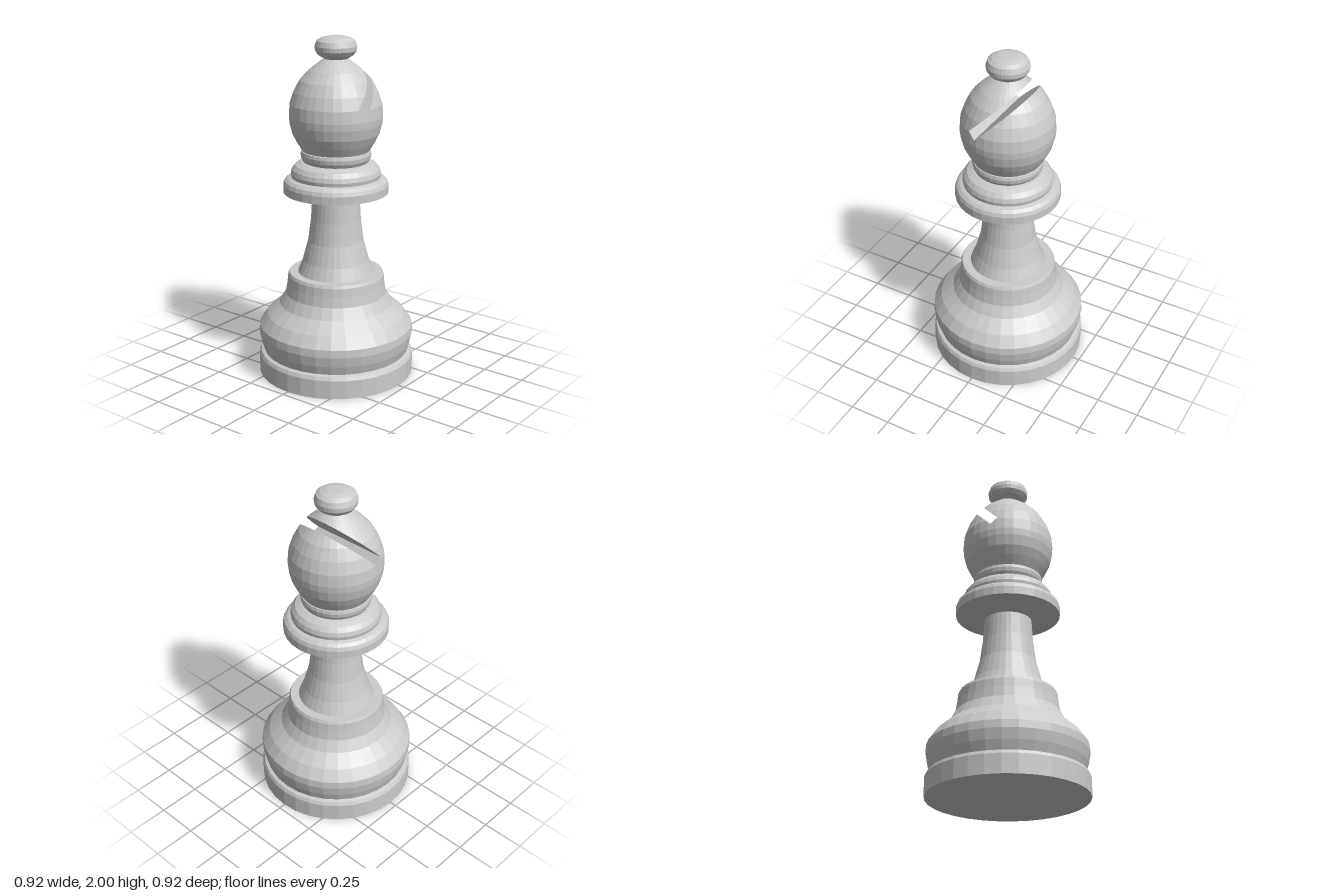
import * as THREE from 'three';

const SIDES = 32;
const material = new THREE.MeshStandardMaterial({ color: 0xcccccc, flatShading: true });

// Turned part from [radius, height] pairs, bottom to top
function turned(profile) {
  return new THREE.LatheGeometry(profile.map(([r, y]) => new THREE.Vector2(r, y)), SIDES);
}

// Splits a convex polygon into the parts in front of and behind a plane
function split(poly, plane) {
  const front = [], back = [];
  poly.forEach((a, i) => {
    const b = poly[(i + 1) % poly.length];
    const da = plane.distanceToPoint(a), db = plane.distanceToPoint(b);
    if (da >= 0) front.push(a);
    if (da <= 0) back.push(a);
    if (da * db < 0) {
      const p = a.clone().lerp(b, da / (da - db));
      front.push(p);
      back.push(p);
    }
  });
  return [front, back];
}

// Removes the region behind all planes from a convex solid and closes the cut walls
function carve(geometry, planes) {
  const pos = geometry.toNonIndexed().getAttribute('position');
  let rest = [];
  for (let i = 0; i < pos.count; i += 3) {
    rest.push([0, 1, 2].map(k => new THREE.Vector3().fromBufferAttribute(pos, i + k)));
  }
  const kept = [];
  for (const plane of planes) {
    const inside = [];
    for (const poly of rest) {
      const [front, back] = split(poly, plane);
      if (front.length > 2) kept.push(front);
      if (back.length > 2) inside.push(back);
    }
    rest = inside;
  }
  // Each wall is the convex outline of the removed piece on one plane
  for (const plane of planes) {
    const pts = rest.flat().filter(p => Math.abs(plane.distanceToPoint(p)) < 1e-6);
    const centre = pts.reduce((s, p) => s.add(p), new THREE.Vector3()).divideScalar(pts.length);
    const v = new THREE.Vector3(0, 0, 1);
    const u = new THREE.Vector3().crossVectors(v, plane.normal);
    const angle = p => {
      const d = p.clone().sub(centre);
      return Math.atan2(d.dot(v), d.dot(u));
    };
    // Clockwise around the plane normal, so the wall faces into the slot
    pts.sort((a, b) => angle(a) - angle(b));
    const wall = pts.filter((p, i) => i === 0 || p.distanceTo(pts[i - 1]) > 1e-6);
    const normal = new THREE.Vector3().crossVectors(u, v);
    if (normal.dot(plane.normal) > 0) wall.reverse();
    kept.push(wall);
  }
  const points = [];
  for (const poly of kept) {
    for (let i = 1; i < poly.length - 1; i++) points.push(poly[0], poly[i], poly[i + 1]);
  }
  const result = new THREE.BufferGeometry().setFromPoints(points);
  result.computeVertexNormals();
  return result;
}

export function createModel() {
  const model = new THREE.Group();
  const add = (name, geometry) => {
    const mesh = new THREE.Mesh(geometry, material);
    mesh.name = name;
    model.add(mesh);
  };

  // Plinth and bulging foot
  add('base', turned([
    [0, 0], [0.46, 0], [0.46, 0.11], [0.45, 0.13], [0.43, 0.137], [0.447, 0.19], [0.458, 0.25],
    [0.455, 0.295], [0.41, 0.36], [0.335, 0.425], [0.298, 0.49], [0.288, 0.55],
    [0.283, 0.6], [0.275, 0.617], [0.22, 0.617],
  ]));

  // Tapering column
  add('stem', turned([
    [0.225, 0.615], [0.195, 0.69], [0.163, 0.81], [0.146, 0.94], [0.138, 1.075],
  ]));

  // Two stepped rings
  add('collar', turned([
    [0.13, 1.07], [0.16, 1.07], [0.305, 1.103], [0.306, 1.15], [0.298, 1.172], [0.28, 1.187],
    [0.258, 1.194], [0.262, 1.215], [0.255, 1.24], [0.235, 1.265], [0.2, 1.28], [0.18, 1.283],
  ]));

  // Narrow ring under the head
  add('neckRing', turned([
    [0.18, 1.28], [0.19, 1.287], [0.2, 1.305], [0.204, 1.328], [0.2, 1.347], [0.18, 1.353],
  ]));

  // Egg-shaped head with a diagonal slot cut right through
  const head = turned([
    [0, 1.35], [0.195, 1.35], [0.225, 1.4], [0.25, 1.45], [0.265, 1.51], [0.269, 1.55],
    [0.264, 1.62], [0.24, 1.69], [0.205, 1.755], [0.155, 1.81], [0.11, 1.845],
    [0.065, 1.877], [0, 1.877],
  ]);
  const s = Math.SQRT1_2;
  add('slottedHead', carve(head, [
    new THREE.Plane(new THREE.Vector3(-s, s, 0), -1.735 * s),
    new THREE.Plane(new THREE.Vector3(s, -s, 0), 1.655 * s),
    new THREE.Plane(new THREE.Vector3(-s, -s, 0), 1.52 * s),
  ]));

  // Flattened knob on top
  add('finial', turned([
    [0.06, 1.87], [0.078, 1.882], [0.1, 1.895], [0.118, 1.92], [0.12, 1.945],
    [0.11, 1.975], [0.088, 1.99], [0.05, 2], [0, 2],
  ]));

  return model;
}
